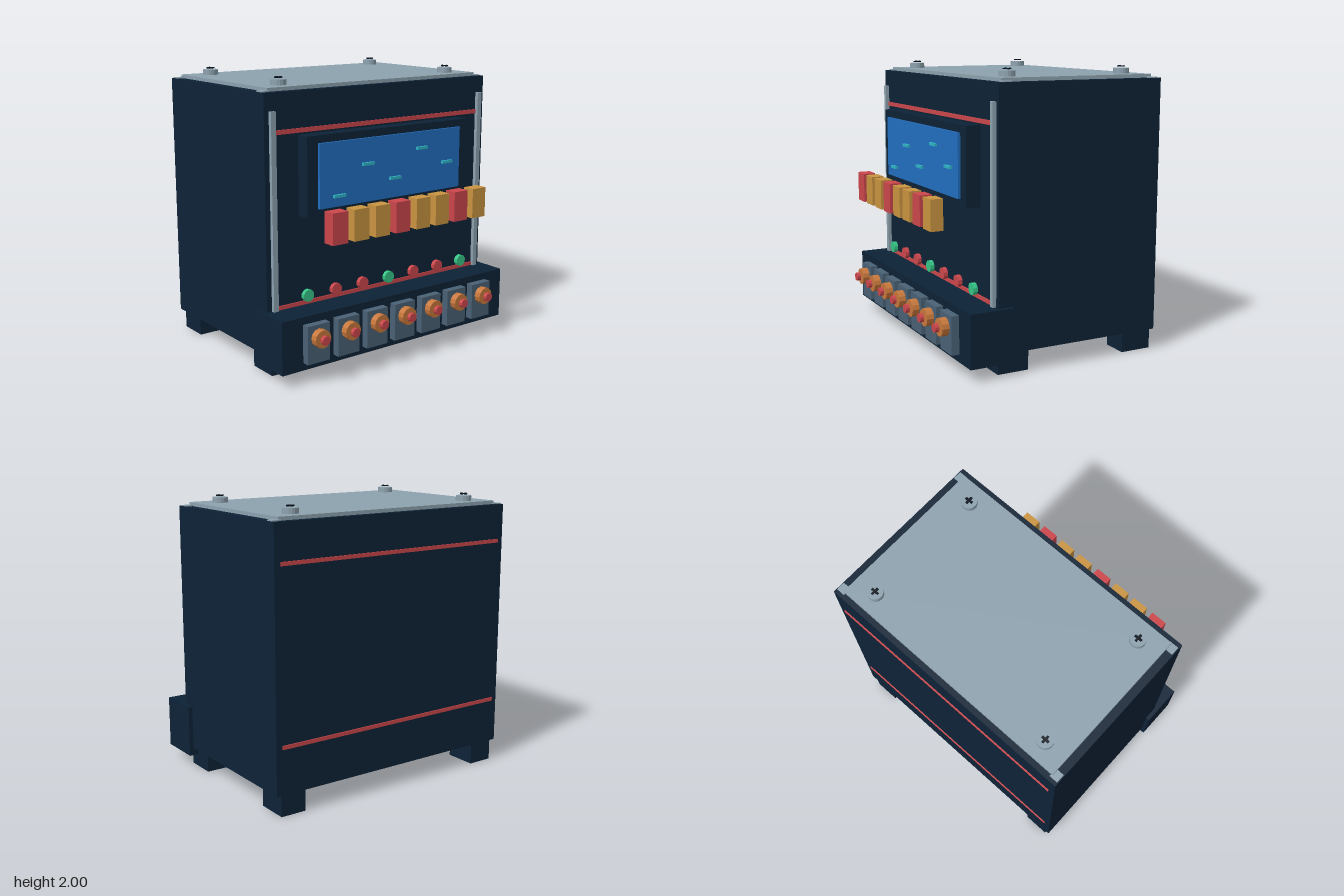
import * as THREE from 'three';

const mat = (name, color) => {
  const m = new THREE.MeshStandardMaterial({ color });
  m.name = name;
  return m;
};

export function createModel() {
  const navy = mat('navy', 0x0d2236);
  const alloy = mat('pale alloy', 0x8da2af);
  const steel = mat('steel', 0x4a6175);
  const red = mat('red', 0xcb464b);
  const amber = mat('amber', 0xca9441);
  const copper = mat('copper', 0xc8783c);
  const green = mat('green', 0x35c587);
  const blue = mat('screen blue', 0x226ec0);
  const cyan = mat('cyan', 0x2fb4c6);
  const black = mat('black', 0x08121c);
  for (const m of [alloy, red, copper, green]) m.flatShading = true;

  const model = new THREE.Group();
  model.name = 'controlUnit';

  // Box given by its extents along each axis
  function box(name, material, [x0, x1], [y0, y1], [z0, z1]) {
    const mesh = new THREE.Mesh(new THREE.BoxGeometry(x1 - x0, y1 - y0, z1 - z0), material);
    mesh.position.set((x0 + x1) / 2, (y0 + y1) / 2, (z0 + z1) / 2);
    mesh.name = name;
    model.add(mesh);
  }
  const around = (c, half) => [c - half, c + half];

  // Short cylinder facing the front
  function disc(name, material, x, y, [z0, z1], r, sides) {
    const geo = new THREE.CylinderGeometry(r, r, z1 - z0, sides).rotateX(Math.PI / 2);
    const mesh = new THREE.Mesh(geo, material);
    mesh.position.set(x, y, (z0 + z1) / 2);
    mesh.name = name;
    model.add(mesh);
  }

  // Cabinet, front ledge and lid
  box('cabinet', navy, [-0.97, 0.97], [0.15, 1.92], [-0.797, 0.443]);
  box('frontLedge', navy, [-1, 1], [0.093, 0.463], [0.345, 0.662]);
  box('lid', alloy, [-0.913, 0.913], [1.92, 1.945], [-0.757, 0.4]);

  for (const s of [-1, 1]) {
    // Feet
    box('frontFoot', navy, around(s * 0.838, 0.093), [0, 0.155], [0.2, 0.43]);
    box('backFoot', navy, around(s * 0.838, 0.093), [0, 0.155], [-0.79, -0.56]);
    // Upright rails
    box('sideRail', alloy, around(s * 0.914, 0.019), [0.46, 1.8], [0.44, 0.47]);
    for (const [z, tabZ] of [[-0.63, -0.74], [0.265, 0.378]]) {
      // Lid corner tabs
      box('cornerTab', alloy, around(s * 0.932, 0.031), [1.9, 1.927], around(tabZ, 0.031));
      // Lid screws with cross slots
      const head = new THREE.Mesh(new THREE.CylinderGeometry(0.055, 0.055, 0.04, 16), alloy);
      head.position.set(s * 0.74, 1.962, z);
      head.name = 'screwHead';
      model.add(head);
      box('screwSlotWide', black, around(s * 0.74, 0.028), [1.99, 1.998], around(z, 0.008));
      box('screwSlotDeep', black, around(s * 0.74, 0.008), [1.99, 1.998], around(z, 0.028));
    }
  }

  // Red trim lines, front and back
  box('frontUpperTrim', red, [-0.9, 0.9], [1.645, 1.675], [0.44, 0.452]);
  box('frontLowerTrim', red, [-0.9, 0.9], [0.46, 0.49], [0.44, 0.452]);
  for (const y of [1.66, 0.475]) {
    box('backTrim', red, [-0.925, 0.925], around(y, 0.013), [-0.805, -0.795]);
  }

  // Display
  box('displayBezel', navy, [-0.71, 0.71], [1.088, 1.632], [0.44, 0.548]);
  box('displayScreen', blue, [-0.625, 0.625], [1.14, 1.58], [0.54, 0.567]);
  [1.215, 1.405, 1.28, 1.465, 1.34].forEach((y, i) => {
    box('displayDash', cyan, around(-0.47 + i * 0.241, 0.048), around(y, 0.01), [0.568, 0.588]);
  });

  // Key row
  [-0.622, -0.446, -0.269, -0.092, 0.09, 0.265, 0.442, 0.618].forEach((x, i) => {
    box('key', i % 3 === 0 ? red : amber, around(x, 0.062), [0.95, 1.164], [0.7, 0.79]);
  });

  for (let i = 0; i < 7; i++) {
    // Indicator lamps
    disc('lamp', i % 3 === 0 ? green : red, -0.684 + i * 0.2338, 0.545, [0.49, 0.52], 0.043, 10);
    // Switch plates with stepped knobs
    const x = -0.745 + i * 0.2477;
    box('switchPlate', steel, around(x, 0.09), [0.147, 0.412], [0.655, 0.717]);
    disc('knob', copper, x, 0.323, [0.717, 0.768], 0.063, 12);
    disc('knobCap', red, x, 0.323, [0.777, 0.805], 0.032, 10);
  }
  return model;
}
